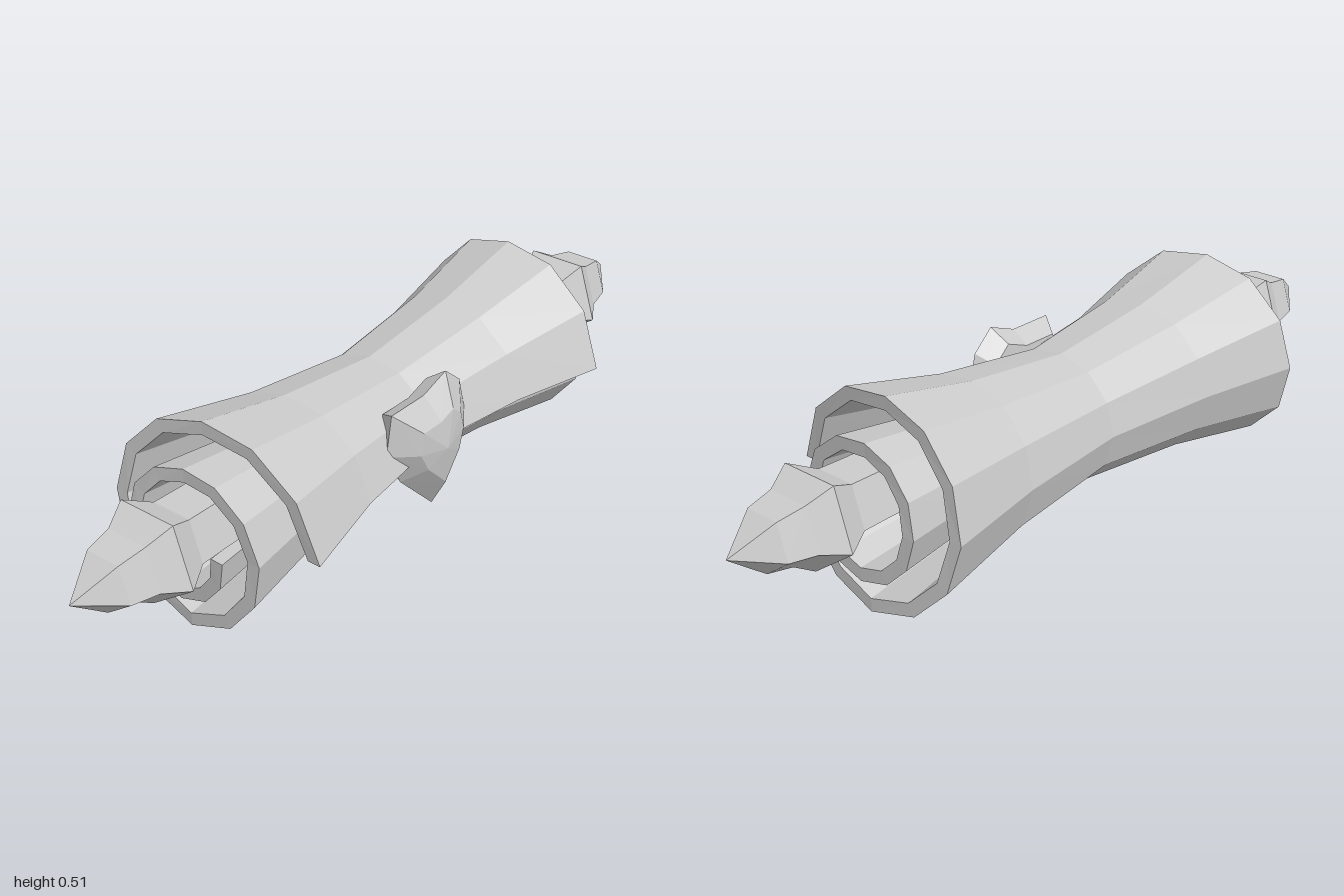
import * as THREE from 'three';

const mat = new THREE.MeshStandardMaterial({ color: 0xcccccc, flatShading: true });

// Reads a value from evenly spaced keys
function sample(keys, t) {
  const i = Math.min(Math.floor(t), keys.length - 2);
  return THREE.MathUtils.lerp(keys[i], keys[i + 1], t - i);
}

function quad(out, a, b, c, d) {
  for (const p of [a, b, c, a, c, d]) out.push(...p);
}

// Skins closed rings of equal point count
function loft(out, rings) {
  for (let k = 0; k < rings.length - 1; k++) {
    const n = rings[k].length;
    for (let i = 0; i < n; i++) {
      const j = (i + 1) % n;
      quad(out, rings[k][i], rings[k][j], rings[k + 1][j], rings[k + 1][i]);
    }
  }
}

function toMesh(name, positions) {
  const g = new THREE.BufferGeometry();
  g.setAttribute('position', new THREE.Float32BufferAttribute(positions, 3));
  g.computeVertexNormals();
  const mesh = new THREE.Mesh(g, mat);
  mesh.name = name;
  return mesh;
}

// Two-turn spiral sheet, waisted in the middle, with inner turns sticking out further
function rolledSheet() {
  const steps = 24;
  const radii = [0.305, 0.258, 0.253, 0.249, 0.208, 0.17, 0.162, 0.158, 0.138]; // every quarter turn
  const halfLengths = [0.545, 0.57, 0.605, 0.64, 0.63, 0.635, 0.655, 0.665, 0.67];
  const columns = [[1, 1], [0.53, 0.78], [0, 0.65], [-0.53, 0.78], [-1, 1]]; // length, flare
  const thickness = 0.034;

  const point = (i, inset, [u, flare]) => {
    const a = (i / 12) * Math.PI * 2;
    const r = (sample(radii, i / 3) - inset) * flare;
    return [u * sample(halfLengths, i / 3), 0.252 + r * Math.sin(a), -0.025 + r * Math.cos(a)];
  };
  const rings = columns.map((col) => {
    const ring = [];
    for (let i = 0; i <= steps; i++) ring.push(point(i, 0, col));
    for (let i = steps; i >= 0; i--) ring.push(point(i, thickness, col));
    return ring;
  });
  const out = [];
  loft(out, rings);

  // Sheet edges at both ends
  const last = 2 * steps + 1;
  const right = rings[0], left = rings[rings.length - 1];
  for (let i = 0; i < steps; i++) {
    quad(out, right[last - i], right[last - i - 1], right[i + 1], right[i]);
    quad(out, left[i], left[i + 1], left[last - i - 1], left[last - i]);
  }
  return toMesh('rolledSheet', out);
}

// Five-sided rod with a pointed finial at each end
function rod() {
  const half = [[0.62, 0.088], [0.7, 0.09], [0.77, 0.131], [0.83, 0.093], [0.9, 0.078], [1, 0]];
  const profile = [
    ...half.slice().reverse().map(([x, r]) => new THREE.Vector2(r, -x)),
    ...half.map(([x, r]) => new THREE.Vector2(r, x)),
  ];
  const g = new THREE.LatheGeometry(profile, 5);
  g.rotateY(Math.PI / 2);
  g.rotateZ(-Math.PI / 2);
  const mesh = new THREE.Mesh(g, mat);
  mesh.name = 'rod';
  mesh.position.y = 0.287;
  return mesh;
}

// Faceted drop-shaped seal on the front
function seal() {
  const outline = [
    [0.015, 0.068], [0.1, 0.2], [0.12, 0.3], [0.09, 0.39], [0.03, 0.44],
    [-0.05, 0.41], [-0.17, 0.41], [-0.18, 0.3], [-0.12, 0.2],
  ];
  const cx = -0.02, cy = 0.27;
  const ring = (scale, z, tilt) => outline.map(([x, y]) =>
    [cx + (x - cx) * scale, cy + (y - cy) * scale, z + (y - cy) * tilt]);
  const out = [];
  loft(out, [ring(0, 0.12, 0), ring(0.8, 0.12, 0.05), ring(1, 0.168, 0.06), ring(0.55, 0.215, 0.03), ring(0, 0.228, 0)]);
  return toMesh('seal', out);
}

export function createModel() {
  const model = new THREE.Group();
  model.name = 'scroll';
  model.add(rolledSheet(), rod(), seal());
  return model;
}
